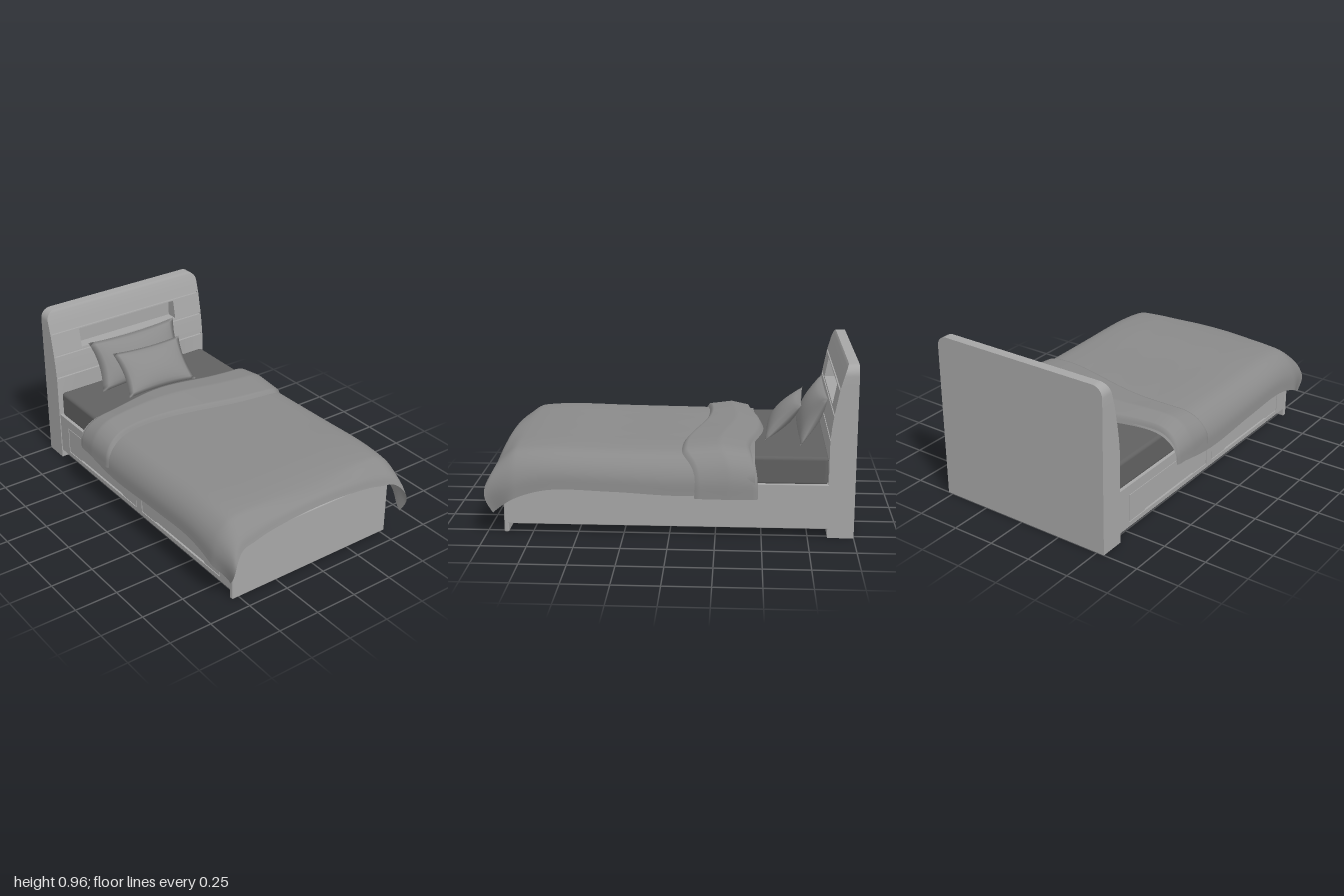
import * as THREE from 'three';
import { mergeVertices, toCreasedNormals } from 'three/addons/utils/BufferGeometryUtils.js';
import { RoundedBoxGeometry } from 'three/addons/geometries/RoundedBoxGeometry.js';
import { ParametricGeometry } from 'three/addons/geometries/ParametricGeometry.js';

const wood = new THREE.MeshStandardMaterial({ color: 0xa6a6a6 });
const linen = new THREE.MeshStandardMaterial({ color: 0x8a8a8a, side: THREE.DoubleSide });
const dark = new THREE.MeshStandardMaterial({ color: 0x616161 });
const MID = 0.007; // centre of the wooden frame in z

function part(parent, name, geometry, material = wood) {
  const mesh = new THREE.Mesh(geometry, material);
  mesh.name = name;
  parent.add(mesh);
  return mesh;
}

// Box given by its lower and upper corners
function box(parent, name, [x0, y0, z0], [x1, y1, z1], radius = 0.004, material = wood) {
  const geo = new RoundedBoxGeometry(x1 - x0, y1 - y0, z1 - z0, 2, radius);
  const mesh = part(parent, name, geo, material);
  mesh.position.set((x0 + x1) / 2, (y0 + y1) / 2, (z0 + z1) / 2);
}

// Interpolate between [key, value] pairs
function sample(keys, v) {
  if (v <= keys[0][0]) return keys[0][1];
  for (let i = 1; i < keys.length; i++) {
    const [a, p] = keys[i - 1], [b, q] = keys[i];
    if (v <= b) return p + (q - p) * (v - a) / (b - a);
  }
  return keys[keys.length - 1][1];
}

// Headboard: rings stacked up the curved front, with plank grooves and a recessed niche
function headboardGeometry() {
  const front = [[0, -0.857], [0.54, -0.857], [0.62, -0.865], [0.69, -0.875],
    [0.82, -0.9], [0.9, -0.922], [0.945, -0.938], [0.957, -0.945]];
  const rows = [[0, 0, false], [0.62, 0, false]]; // height, groove depth, inside niche
  for (const y of [0.55, 0.685, 0.824]) {
    rows.push([y - 0.006, 0, false], [y - 0.005, 0.012, false], [y + 0.005, 0.012, false], [y + 0.006, 0, false]);
  }
  rows.push([0.7, 0, false], [0.7, 0, true], [0.76, 0, true], [0.812, 0, true], [0.812, 0, false]);
  for (let i = 0; i <= 8; i++) rows.push([0.897 + 0.06 * Math.sin(i * Math.PI / 16), 0, false]);
  rows.sort((a, b) => a[0] - b[0]);

  const pos = [], index = [], n = 12;
  rows.forEach(([y, groove, inNiche], i) => {
    const r = Math.max(0, y - 0.897);
    const w = 0.4775 + Math.sqrt(Math.max(0, 0.0036 - r * r));
    const edge = sample(front, y), plank = edge - groove, niche = inNiche ? -0.95 : plank;
    const ring = [[edge, MID + w], [edge, MID + w - 0.008], [plank, MID + w - 0.008],
      [plank, 0.35], [niche, 0.35], [niche, -0.335], [plank, -0.335],
      [plank, MID - w + 0.008], [edge, MID - w + 0.008], [edge, MID - w], [-1, MID - w], [-1, MID + w]];
    for (const [x, z] of ring) pos.push(x, y, z);
    if (i === 0) return;
    for (let j = 0; j < n; j++) {
      const a = (i - 1) * n + j, b = (i - 1) * n + (j + 1) % n;
      index.push(a, b, b + n, a, b + n, a + n);
    }
  });
  const top = (rows.length - 1) * n;
  for (let j = 0; j < n - 2; j++) {
    index.push(top + n - 1, top + j, top + j + 1, n - 1, j + 1, j);
  }
  const geo = new THREE.BufferGeometry();
  geo.setAttribute('position', new THREE.Float32BufferAttribute(pos, 3));
  geo.setIndex(index);
  return toCreasedNormals(geo, 0.5);
}

function polygon(points, Type = THREE.Shape) {
  return new Type(points.map(([x, y]) => new THREE.Vector2(x, y)));
}
const rect = (x0, y0, x1, y1) => [[x0, y0], [x1, y0], [x1, y1], [x0, y1]];

// Cushion with pinched corners and a swollen middle
function pillowGeometry(width, height, thickness) {
  let geo = new THREE.BoxGeometry(2, 2, 2, 16, 16, 1);
  geo.deleteAttribute('normal');
  geo.deleteAttribute('uv');
  const p = geo.attributes.position;
  for (let i = 0; i < p.count; i++) {
    const u = p.getX(i), v = p.getY(i), side = p.getZ(i);
    const swell = Math.pow(Math.max(0, (1 - u * u) * (1 - v * v)), 0.6);
    p.setXYZ(i, u * width / 2 * (1 - 0.09 * (1 - v * v)),
      v * height / 2 * (1 - 0.09 * (1 - u * u)), side * thickness / 2 * swell);
  }
  geo = mergeVertices(geo);
  geo.computeVertexNormals();
  return geo;
}

// Point on the cross-section of cloth hanging over both long sides
function drapePoint(t, top, bottom, offset = 0) {
  const drop = top - bottom;
  const pts = [[0, 0], [0.22, 0], [0.4, 0.01], [0.52, 0.08], [0.585, 0.3], [0.62, 0.6], [0.63, 1]];
  const curve = new THREE.CatmullRomCurve3(pts.map(([z, k]) =>
    new THREE.Vector3(0, top + offset * (1 - k) - k * drop, z + offset * 0.25 * Math.min(1, k * 3))));
  const p = curve.getPoint(Math.abs(t));
  if (t < 0) p.z = -p.z;
  return p;
}

function clothGeometry(fn, nu, nv) {
  const geo = new ParametricGeometry(fn, nu, nv);
  geo.computeVertexNormals();
  return geo;
}

function duvetGeometry() {
  // Stations along the bed: x, height of the top, height of the side hem
  const spine = new THREE.CatmullRomCurve3([
    [-0.46, 0.465, 0.31], [-0.12, 0.475, 0.26], [0.3, 0.48, 0.275], [0.64, 0.487, 0.28],
    [0.8, 0.48, 0.24], [0.88, 0.467, 0.2], [0.93, 0.445, 0.165], [0.955, 0.405, 0.145],
  ].map(a => new THREE.Vector3(...a)));
  return clothGeometry((u, v, target) => {
    const s = spine.getPoint(u), t = v * 2 - 1;
    const end = THREE.MathUtils.smoothstep(s.x, 0.83, 0.955);
    const bottom = s.z + 0.012 * end * Math.sign(t);
    const p = drapePoint(t, s.y, bottom);
    const k = THREE.MathUtils.clamp((s.y - p.y) / (s.y - bottom), 0, 1);
    const sag = 0.045 * end * Math.min(1, (p.z / 0.45) ** 2) * (1 - k);
    target.set(s.x + 0.045 * end * Math.sin(Math.PI * k), p.y - sag, p.z * (1 - 0.06 * end * k));
  }, 48, 56);
}

// Turned-back end of the duvet, with wavy edges
function foldGeometry() {
  const loft = [[0, -0.015], [0.06, 0.022], [0.45, 0.045], [0.94, 0.027], [1, 0]];
  return clothGeometry((u, v, target) => {
    const t = v * 2 - 1;
    const p = drapePoint(t, 0.47, t < 0 ? 0.245 : 0.305, sample(loft, u));
    const headEdge = -0.478 + 0.035 * Math.cos(Math.PI * (p.z + 0.4) / 0.45);
    const footEdge = -0.127 + 0.067 * Math.cos(Math.PI * (p.z + 0.45) / 0.78)
      - 0.06 * THREE.MathUtils.smoothstep(-p.z, 0.5, 0.63);
    target.set(THREE.MathUtils.lerp(headEdge, footEdge, u), p.y, p.z);
  }, 32, 56);
}

export function createModel() {
  const bed = new THREE.Group();
  bed.name = 'bed';

  // Wooden frame
  part(bed, 'headboard', headboardGeometry());
  box(bed, 'base', [-0.87, 0.05, -0.53], [0.89, 0.3, 0.527]);
  box(bed, 'footboard', [0.882, 0, MID - 0.5375], [0.909, 0.36, MID + 0.5375], 0.008);

  // Drawer side: a plate with openings, and drawer fronts set into them
  const plate = polygon(rect(-0.86, 0.05, 0.885, 0.3));
  const drawers = new THREE.Group();
  drawers.name = 'drawers';
  bed.add(drawers);
  const solid = { depth: 0.012, bevelEnabled: false };
  const w = 0.752, gap = 0.005;
  for (const x of [-0.767, 0.041]) {
    plate.holes.push(polygon(rect(x, 0.076, x + w, 0.244), THREE.Path));
    const low = 0.076 + gap, end = x + w;
    const face = polygon([[x + gap, low], [x + 0.137, low], [x + 0.16, 0.096],
      [end - 0.16, 0.096], [end - 0.137, low], [end - gap, low],
      [end - gap, 0.244 - gap], [x + gap, 0.244 - gap]]);
    part(drawers, 'drawerFront', new THREE.ExtrudeGeometry(face, solid)).position.z = 0.526;
  }
  part(bed, 'drawerSurround', new THREE.ExtrudeGeometry(plate, solid)).position.z = 0.527;

  // Bedding
  box(bed, 'mattress', [-0.855, 0.29, -0.515], [0.862, 0.45, 0.522], 0.02, dark);
  part(bed, 'duvet', duvetGeometry(), linen);
  part(bed, 'duvetFold', foldGeometry(), linen);

  // Pillows lean back against the headboard
  for (const [name, width, height, depth, x, y, z, lean, yaw] of [
    ['largePillow', 0.62, 0.31, 0.12, -0.783, 0.585, 0.007, 0.48, 0],
    ['smallPillow', 0.465, 0.29, 0.105, -0.628, 0.562, -0.007, 0.76, -0.06],
  ]) {
    const pillow = part(bed, name, pillowGeometry(width, height, depth), linen);
    pillow.rotation.set(-lean, Math.PI / 2 + yaw, 0, 'YXZ');
    pillow.position.set(x, y, z);
  }
  return bed;
}
